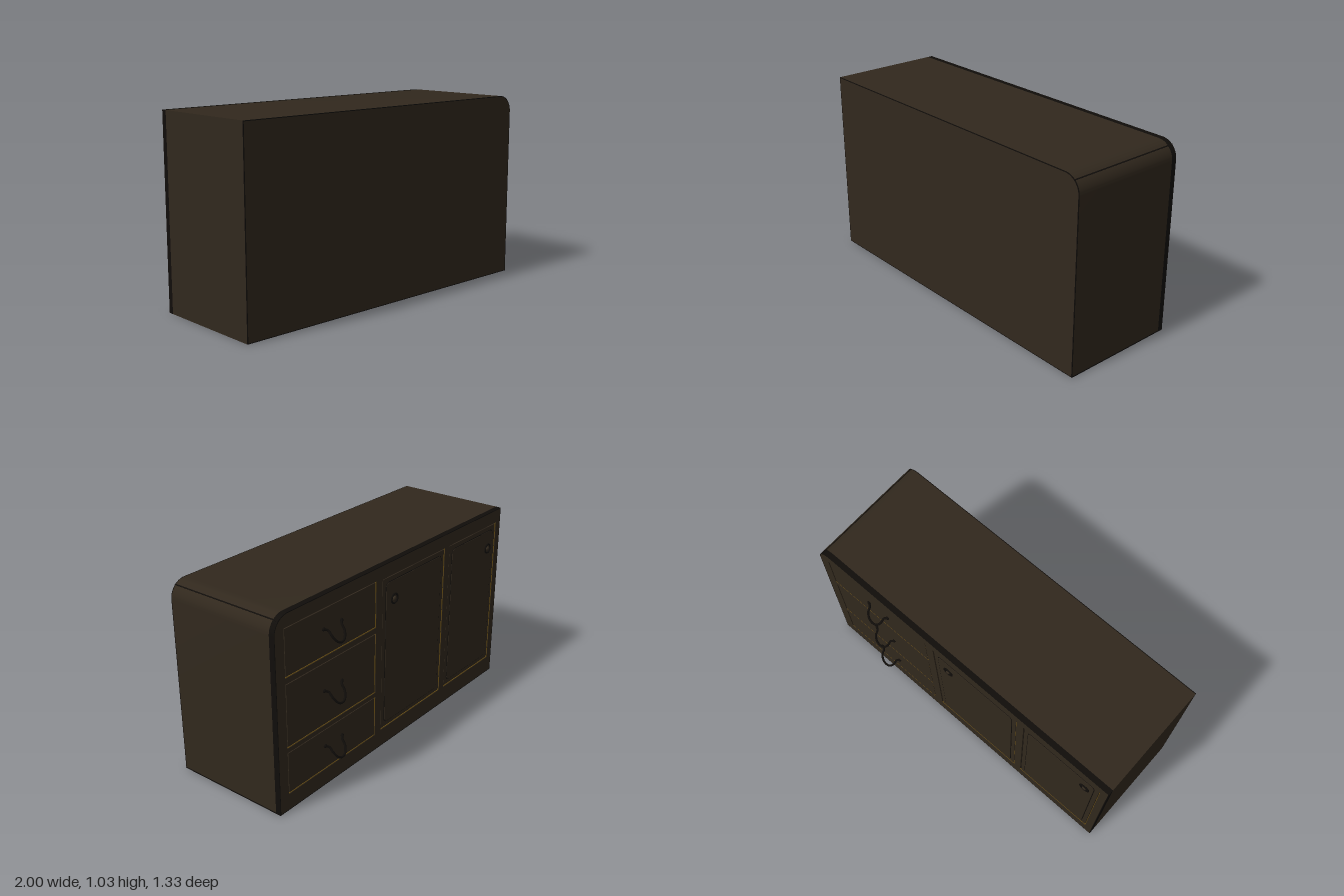
import * as THREE from 'three';
import { toCreasedNormals } from 'three/addons/utils/BufferGeometryUtils.js';

const LENGTH = 1.89, DEPTH = 0.652, BOTTOM = 0.002, TOP = 1.033, ROUND = 0.09;
const FRAME = 0.03;              // thickness of the face frame
const FACE = DEPTH / 2;          // plane of the drawer and door faces
const GAP = 0.006;
const EDGE = 0.004;              // width of the dark edging

const mat = (name, color) => {
  const m = new THREE.MeshStandardMaterial({ color });
  m.name = name;
  return m;
};

// Cabinet outline with one rounded top corner, shrunk by d
function outline(Type = THREE.Shape, d = 0) {
  const h = LENGTH / 2 - d, top = TOP - d, bottom = BOTTOM + d, r = ROUND - d;
  const s = new Type();
  s.moveTo(-h, bottom);
  s.lineTo(h, bottom);
  s.lineTo(h, top);
  s.lineTo(-h + r, top);
  s.absarc(-h + r, top - r, r, Math.PI / 2, Math.PI, false);
  s.lineTo(-h, bottom);
  return s;
}

function rect(Type, x0, x1, y0, y1, r = 0) {
  const s = new Type();
  if (!r) {
    s.moveTo(x0, y0); s.lineTo(x1, y0); s.lineTo(x1, y1); s.lineTo(x0, y1); s.closePath();
    return s;
  }
  s.absarc(x1 - r, y0 + r, r, -Math.PI / 2, 0, false);
  s.absarc(x1 - r, y1 - r, r, 0, Math.PI / 2, false);
  s.absarc(x0 + r, y1 - r, r, Math.PI / 2, Math.PI, false);
  s.absarc(x0 + r, y0 + r, r, Math.PI, Math.PI * 1.5, false);
  s.closePath();
  return s;
}

const slab = (shape, depth, z, bevel = 0) => {
  const g = new THREE.ExtrudeGeometry(shape, {
    depth, curveSegments: 10, bevelEnabled: bevel > 0,
    bevelSize: bevel, bevelThickness: bevel, bevelOffset: -bevel, bevelSegments: 1
  });
  return toCreasedNormals(g.translate(0, 0, z), 0.6);
};

export function createModel() {
  const wood = mat('dark wood', 0x31281d);
  const black = mat('blackened metal', 0x100d0a);
  const brass = mat('aged brass', 0x6b5014);

  const model = new THREE.Group();
  model.name = 'sideboard';
  const cabinet = new THREE.Group();
  cabinet.name = 'cabinet';
  cabinet.rotation.y = 0.396 + Math.PI;
  model.add(cabinet);

  const add = (parent, name, geo, material, x = 0, y = 0, z = 0) => {
    const m = new THREE.Mesh(geo, material);
    m.name = name;
    m.position.set(x, y, z);
    parent.add(m);
    return m;
  };

  // Openings in the face frame: [x0, x1, y0, y1]
  const drawers = [
    [-0.883, -0.212, 0.715, 0.965],
    [-0.883, -0.212, 0.346, 0.685],
    [-0.883, -0.212, 0.093, 0.322]
  ];
  const doors = [
    [-0.163, 0.385, 0.1, 0.957],
    [0.428, 0.902, 0.1, 0.957]
  ];
  const openings = [...drawers, ...doors];

  // Carcass and face frame
  add(cabinet, 'carcass', slab(outline(), DEPTH - FRAME - EDGE, EDGE - FACE), wood);
  const backPanel = outline(THREE.Shape, EDGE);
  add(cabinet, 'backPanel', slab(backPanel, EDGE, -FACE), wood);
  const frame = outline(THREE.Shape, EDGE);
  frame.holes = openings.map(o => rect(THREE.Path, ...o));
  add(cabinet, 'faceFrame', slab(frame, FRAME, FACE - FRAME), wood);

  // Dark edging around the two long faces
  const edging = outline();
  edging.holes = [outline(THREE.Path, EDGE)];
  add(cabinet, 'backEdging', slab(edging, EDGE, -FACE), black);
  add(cabinet, 'frontEdging', slab(edging, FRAME, FACE - FRAME), black);

  // Dark seam across the rounded corner, and edging along the end
  const angle = Math.PI * 0.73;
  const seam = add(cabinet, 'cornerSeam', new THREE.BoxGeometry(0.004, 0.006, DEPTH), black,
    -LENGTH / 2 + ROUND * (1 + Math.cos(angle)), TOP + ROUND * (Math.sin(angle) - 1), 0);
  seam.rotation.z = angle;
  add(cabinet, 'endEdging', new THREE.BoxGeometry(0.004, 0.006, DEPTH), black,
    -LENGTH / 2 + 0.001, BOTTOM + 0.003, 0);

  // Dark lining behind the gaps, with brass along the sill and one side
  openings.forEach(([x0, x1, y0, y1]) => {
    const w = x1 - x0, h = y1 - y0, cx = (x0 + x1) / 2, cy = (y0 + y1) / 2;
    add(cabinet, 'gapLining', new THREE.BoxGeometry(w, h, 0.006), black, cx, cy, FACE - 0.012);
    add(cabinet, 'brassSill', new THREE.BoxGeometry(w, 0.003, 0.012), brass, cx, y0 + 0.0015, FACE - 0.008);
    add(cabinet, 'brassSide', new THREE.BoxGeometry(0.003, h, 0.012), brass, x1 - 0.0015, cy, FACE - 0.008);
  });

  const inset = ([x0, x1, y0, y1], d) => [x0 + d, x1 - d, y0 + d, y1 - d];

  // Hanging drawer pull, curved forward and down
  const pullPath = new THREE.CatmullRomCurve3([
    [-0.068, 0.02, 0.003], [-0.05, 0.012, 0.014], [-0.045, -0.015, 0.036], [-0.025, -0.045, 0.053],
    [0, -0.054, 0.057],
    [0.025, -0.045, 0.053], [0.045, -0.015, 0.036], [0.05, 0.012, 0.014], [0.068, 0.02, 0.003]
  ].map(p => new THREE.Vector3(...p)));
  const pullGeo = new THREE.TubeGeometry(pullPath, 40, 0.006, 8);
  const mountGeo = new THREE.SphereGeometry(0.01, 12, 8);

  drawers.forEach(o => {
    const drawer = new THREE.Group();
    drawer.name = 'drawer';
    cabinet.add(drawer);
    add(drawer, 'drawerFront', slab(rect(THREE.Shape, ...inset(o, GAP)), 0.018, FACE - 0.02), wood);
    const x = (o[0] + o[1]) / 2, y = (o[2] + o[3]) / 2;
    add(drawer, 'pull', pullGeo, black, x, y, FACE - 0.002);
    for (const s of [-1, 1]) add(drawer, 'pullMount', mountGeo, black, x + s * 0.065, y + 0.019, FACE - 0.001);
  });

  // Doors with a raised round-cornered panel, a dark groove and a ring knob
  const knobX = [-0.065, 0.822];
  const ringGeo = new THREE.TorusGeometry(0.025, 0.005, 8, 28);
  const buttonGeo = new THREE.SphereGeometry(0.012, 16, 10).scale(1, 1, 0.7);
  doors.forEach((o, i) => {
    const door = new THREE.Group();
    door.name = 'door';
    cabinet.add(door);
    add(door, 'doorSlab', slab(rect(THREE.Shape, ...inset(o, GAP)), 0.017, FACE - 0.02), wood);
    add(door, 'panelGroove', slab(rect(THREE.Shape, ...inset(o, 0.029), 0.026), 0.002, FACE - 0.004), black);
    add(door, 'doorPanel', slab(rect(THREE.Shape, ...inset(o, 0.033), 0.022), 0.003, FACE - 0.003), wood);
    add(door, 'knobRing', ringGeo, black, knobX[i], 0.825, FACE + 0.003);
    add(door, 'knobButton', buttonGeo, wood, knobX[i], 0.825, FACE + 0.003);
  });

  return model;
}
